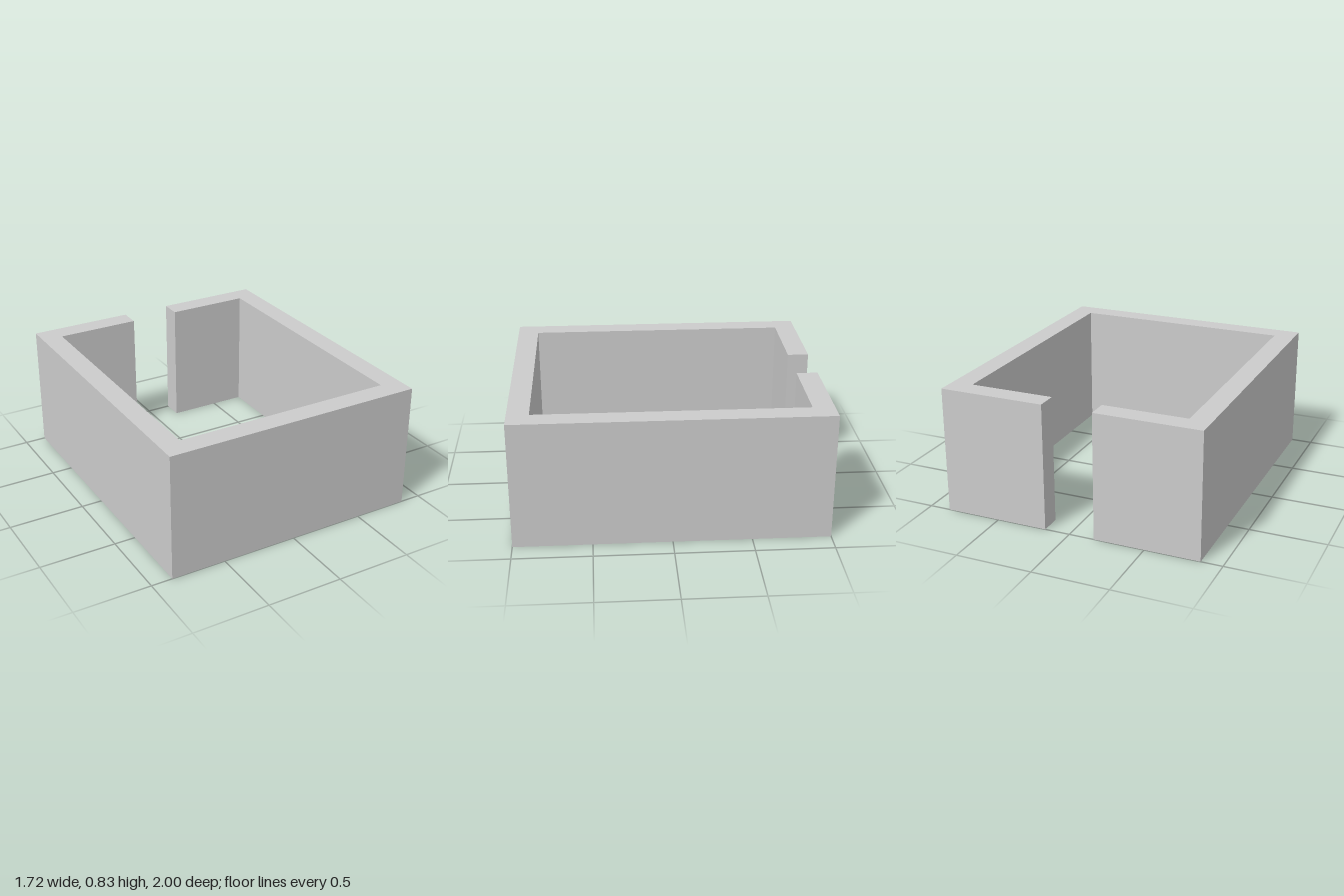
import * as THREE from 'three';

const WIDTH = 1.722, DEPTH = 2, HEIGHT = 0.833;
const WALL = 0.139, GAP = 0.333;

export function createModel() {
  const group = new THREE.Group();
  group.name = 'walledEnclosure';

  // Half of the floor plan, from the doorway round to the front wall (plan y points to the back)
  const x = WIDTH / 2, z = DEPTH / 2, door = GAP / 2;
  const outer = [[door, z], [x, z], [x, -z]];
  const inner = [[x - WALL, WALL - z], [x - WALL, z - WALL], [door, z - WALL]];

  // Mirror the half plan to close the outline around the doorway
  const mirror = (points) => points.map(([px, py]) => [-px, py]).reverse();
  const outline = [...outer, ...mirror(outer), ...mirror(inner), ...inner];
  const plan = new THREE.Shape(outline.map(([px, py]) => new THREE.Vector2(px, py)));

  // Walls raised from the plan, standing on the ground
  const geometry = new THREE.ExtrudeGeometry(plan, { depth: HEIGHT, bevelEnabled: false });
  geometry.rotateX(-Math.PI / 2);
  const walls = new THREE.Mesh(
    geometry,
    new THREE.MeshStandardMaterial({ color: 0xcccccc, flatShading: true })
  );
  walls.name = 'walls';
  group.add(walls);

  return group;
}
